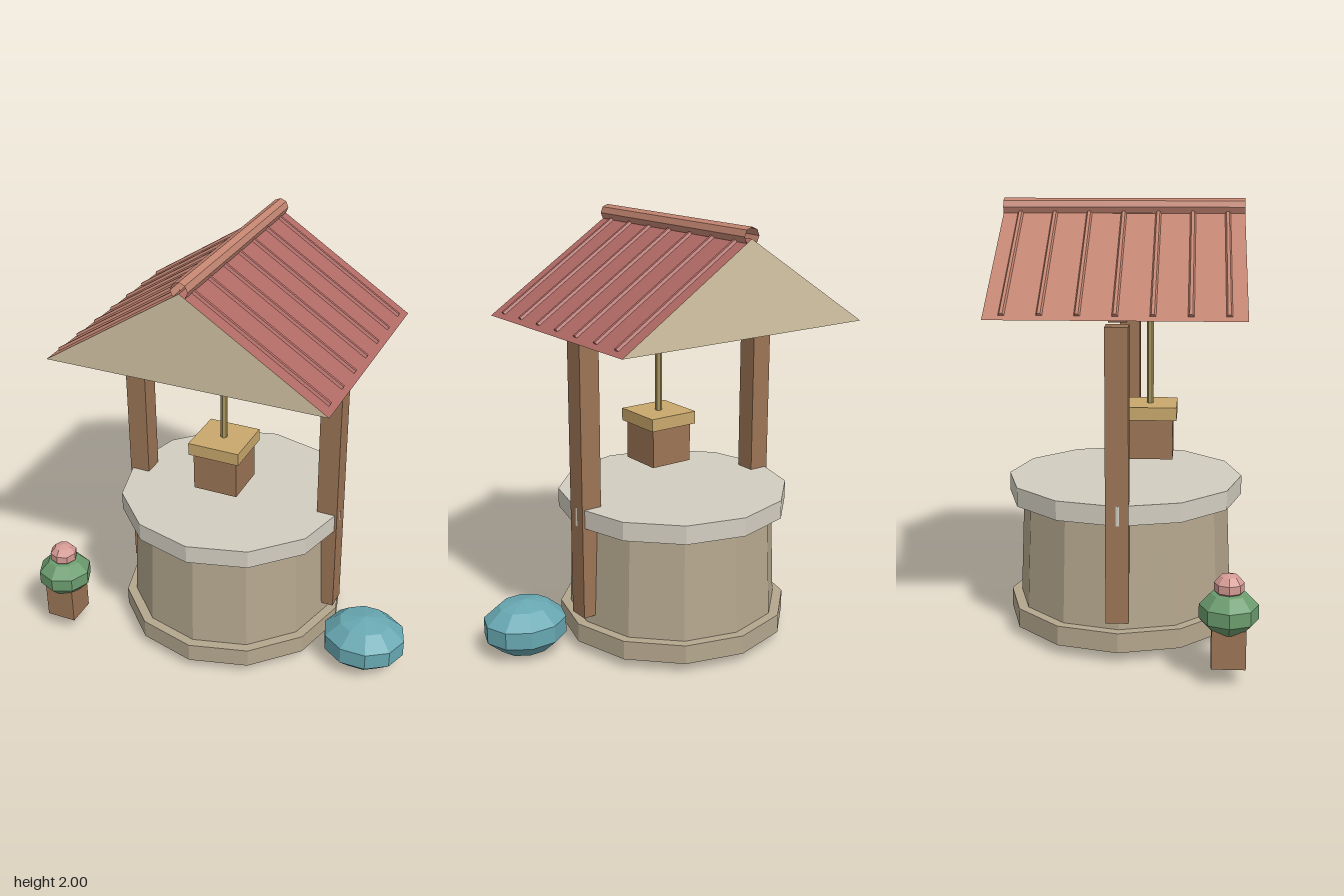
import * as THREE from 'three';

const WELL_X = -0.06, WELL_Z = -0.027;
const WOOD = 0x9c7556, TAN = 0xc9a86c, STONE = 0xb5a78e;

export function createModel() {
  const model = new THREE.Group();

  function add(name, geometry, color, x, y, z, side = THREE.FrontSide, parent = model) {
    const material = new THREE.MeshStandardMaterial({ color, flatShading: true, side });
    const mesh = new THREE.Mesh(geometry, material);
    mesh.name = name;
    mesh.position.set(x, y, z);
    parent.add(mesh);
    return mesh;
  }
  const box = (name, color, w, h, d, x, y, z) =>
    add(name, new THREE.BoxGeometry(w, h, d), color, x, y, z);
  // Faceted ellipsoid with a straight band around its middle
  const blob = (name, color, rx, ry, rz, sides, x, y, z) =>
    add(name, new THREE.SphereGeometry(1, sides, 5).scale(rx, ry, rz), color, x, y, z);

  // Stone well: base ring, tapered wall and closed rim
  const ring = (name, color, rTop, rBottom, y0, y1) =>
    add(name, new THREE.CylinderGeometry(rTop, rBottom, y1 - y0, 12), color, WELL_X, (y0 + y1) / 2, WELL_Z);
  ring('wellBase', STONE, 0.546, 0.546, 0.053, 0.143);
  ring('wellWall', STONE, 0.48, 0.5, 0.143, 0.632);
  ring('wellRim', 0xd3cec1, 0.546, 0.546, 0.632, 0.72);

  // Two posts and the beam above them
  for (const s of [-1, 1]) {
    box(s > 0 ? 'leftPost' : 'rightPost', WOOD, 0.1, 1.3, 0.1, WELL_X + s * 0.494, 0.84, -0.03);
  }
  box('beam', 0x7d5a42, 0.935, 0.08, 0.08, WELL_X, 1.54, -0.03);

  // Pulley, rope and bucket
  add('pulley', new THREE.SphereGeometry(1, 8, 6).scale(0.125, 0.105, 0.075), 0xb39a62, WELL_X, 1.55, 0.085);
  add('rope', new THREE.CylinderGeometry(0.016, 0.016, 0.44, 6), 0xa8955c, WELL_X, 1.27, 0.09);
  box('bucket', WOOD, 0.215, 0.19, 0.215, WELL_X, 0.915, 0.09);
  box('bucketLid', TAN, 0.25, 0.06, 0.25, WELL_X, 1.035, 0.09);

  // Roof: thin open-bottomed prism with ribs on the slopes
  const roof = new THREE.Group();
  roof.name = 'roof';
  roof.position.set(WELL_X, 1.53, -0.03);
  model.add(roof);
  const half = 0.652, rise = 0.42, length = 1.084;
  const slope = Math.hypot(half, rise), pitch = Math.atan2(rise, half);
  for (const s of [-1, 1]) {
    const color = s > 0 ? 0xb06a64 : 0xc28471;
    const panelGeometry = new THREE.PlaneGeometry(slope, length).rotateX(-Math.PI / 2);
    const panel = add(s > 0 ? 'leftRoofPanel' : 'rightRoofPanel', panelGeometry, color,
      s * half / 2, rise / 2, 0, THREE.DoubleSide, roof);
    panel.rotation.z = -s * pitch;
    for (let i = -3; i <= 3; i++) {
      const rib = new THREE.CylinderGeometry(0.013, 0.013, slope - 0.06, 6).rotateZ(Math.PI / 2);
      add('roofRib', rib, color, 0, 0, i * 0.155, THREE.FrontSide, panel);
    }
    const gable = new THREE.Shape([
      new THREE.Vector2(-half, 0), new THREE.Vector2(half, 0), new THREE.Vector2(0, rise),
    ]);
    add(s > 0 ? 'frontGable' : 'backGable', new THREE.ShapeGeometry(gable), 0xd6c6a6,
      0, 0, s * length / 2, THREE.DoubleSide, roof);
  }
  const ridge = new THREE.CylinderGeometry(0.039, 0.039, length, 8, 1, true).rotateX(Math.PI / 2);
  add('roofRidge', ridge, 0xc28471, 0, 0.431, 0, THREE.DoubleSide, roof);

  // Potted plant with a flower on top
  box('plantPot', WOOD, 0.145, 0.17, 0.145, -0.762, 0.175, 0.45);
  blob('plantLeaves', 0x6b9c6e, 0.132, 0.1, 0.132, 8, -0.762, 0.32, 0.45);
  blob('flower', 0xd59a94, 0.067, 0.057, 0.067, 8, -0.762, 0.43, 0.45);

  // Round bush beside the well
  blob('bush', 0x68a8b2, 0.208, 0.13, 0.187, 10, 0.683, 0.135, 0.125);

  return model;
}
